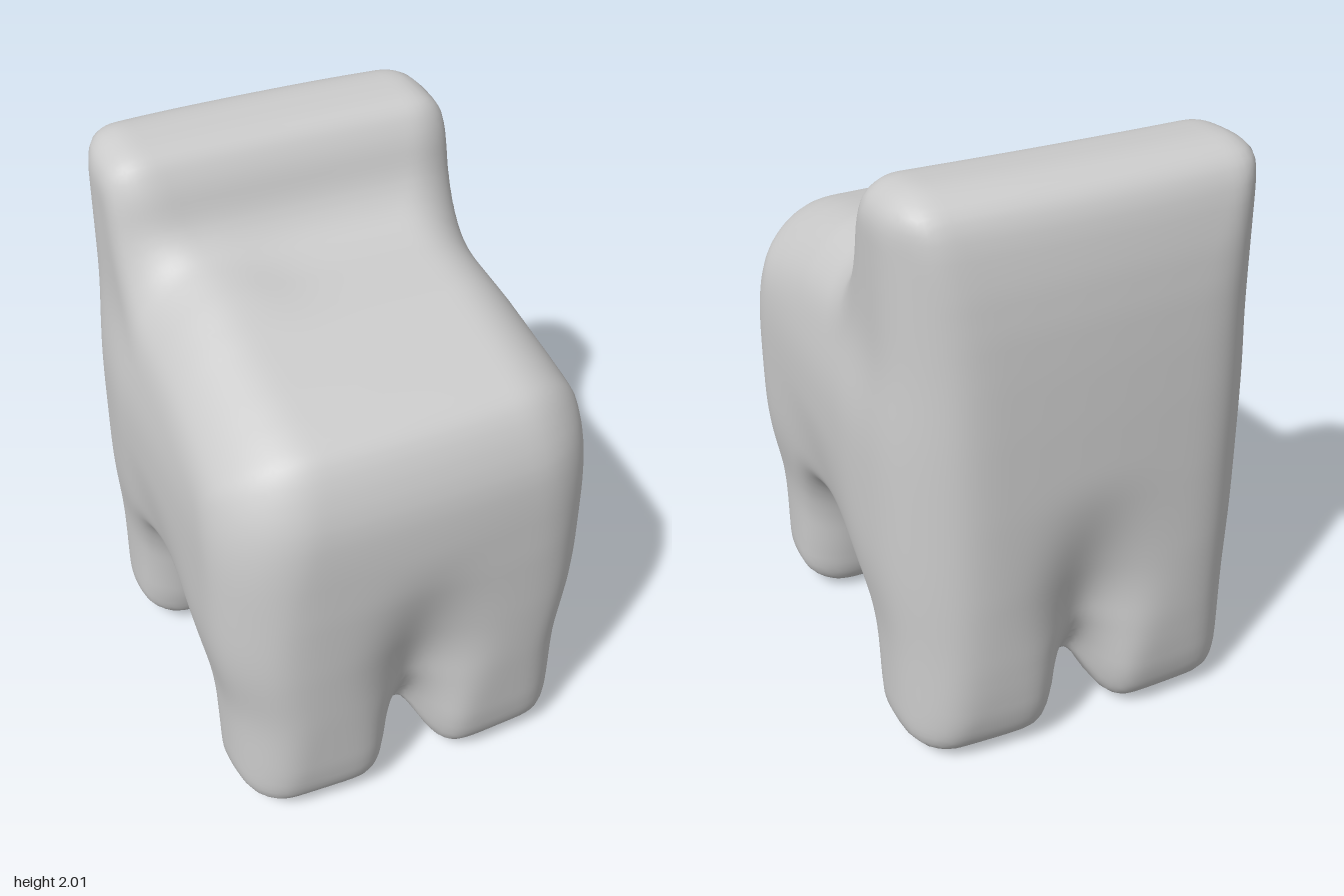
import * as THREE from 'three';

// side outline (z, y): front legs, seat, backrest, rear legs, arch
const OUTLINE = new THREE.CatmullRomCurve3([
  [0.55, 0.005], [0.64, 0.02], [0.71, 0.08], [0.755, 0.4], [0.78, 1.1], [0.75, 1.31], [0.67, 1.46],
  [0.58, 1.51], [0.2, 1.61], [-0.14, 1.67], [-0.24, 1.76], [-0.3, 1.9], [-0.36, 1.975], [-0.46, 1.998],
  [-0.6, 1.998], [-0.69, 1.95], [-0.745, 1.78], [-0.78, 1.3], [-0.77, 0.4], [-0.72, 0.09],
  [-0.64, 0.015], [-0.4, 0.005], [-0.32, 0.06], [-0.25, 0.42], [-0.2, 0.53], [-0.13, 0.565],
  [0.13, 0.565], [0.2, 0.53], [0.26, 0.42], [0.33, 0.06], [0.4, 0.005],
].map(([z, y]) => new THREE.Vector3(z, y, 0)), true).getPoints(100).slice(0, -1);
const smooth = THREE.MathUtils.smoothstep;

// signed distance to the side outline
function outlineDistance(z, y) {
  let best = Infinity, inside = false;
  for (let i = 0, j = OUTLINE.length - 1; i < OUTLINE.length; j = i++) {
    const a = OUTLINE[i], b = OUTLINE[j];
    const ez = b.x - a.x, ey = b.y - a.y, wz = z - a.x, wy = y - a.y;
    const t = Math.min(1, Math.max(0, (wz * ez + wy * ey) / (ez * ez + ey * ey)));
    best = Math.min(best, (wz - ez * t) ** 2 + (wy - ey * t) ** 2);
    if ((a.y > y) !== (b.y > y) && z < a.x + (ez * wy) / ey) inside = !inside;
  }
  return Math.sqrt(best) * (inside ? -1 : 1);
}

// intersection of two distances with a rounded edge of radius r
function roundedEdge(a, b, r) {
  return Math.min(Math.max(a, b), -r) + Math.hypot(Math.max(a + r, 0), Math.max(b + r, 0));
}

// the padded chair body: outline swept across x, rounded, grooved between the legs
function body(x, y, z) {
  const bentZ = z * (1 + 0.1 * x * x);
  const side = outlineDistance(bentZ, y);
  const bulge = Math.exp(-(((y - 0.96) / 0.42) ** 4)) * (1 - 0.8 * smooth(-z, 0.25, 0.7));
  const wide = Math.abs(x) - 0.612 - 0.052 * bulge;
  const r = 0.18 + 0.1 * smooth(y, 0.8, 1.3) * smooth(z, -0.4, -0.1) - 0.04 * smooth(y, 1.5, 1.85);
  const swept = roundedEdge(side, wide, r);
  // wide rounding of the four upright corners, blended in
  const plan = roundedEdge(wide, Math.abs(bentZ) - 0.79, 0.3);
  const blend = Math.max(0.03 - Math.abs(swept - plan), 0);
  const d = Math.max(swept, plan) + blend * blend / 0.12;
  // groove between the legs, opening into a gap near the floor
  const depth = 0.12 * (1 - smooth(y, 0.1, 0.45)) + 0.12 * (1 - smooth(y, 0.35, 1.08));
  const spread = 0.095 + 0.07 * smooth(y, 0.15, 0.7);
  // shallow hollow in each flank above the arch
  const hollow = 0.04 * smooth(Math.abs(x), 0.3, 0.55) * (1 - smooth(y, 0.6, 1.05)) * Math.exp(-((z / 0.25) ** 2));
  // soft lump on the seat
  const lump = 0.03 * Math.exp(-((x + 0.33) ** 2 + (y - 1.65) ** 2 + (z + 0.02) ** 2) / 0.03);
  return d + depth * Math.exp(-((x / spread) ** 2)) + hollow - lump;
}

// skin a distance field: one vertex per crossed cell, one quad per crossed edge
function skin(f, min, size, step) {
  const n = size.map((s) => Math.ceil(s / step));
  const id = (i, j, k) => (k * n[1] + j) * n[0] + i;
  const at = (c, a) => min[a] + c * step;
  const field = new Float32Array(n[0] * n[1] * n[2]);
  const each = (lo, hi, fn) => {
    for (let k = lo; k < n[2] - hi; k++)
      for (let j = lo; j < n[1] - hi; j++)
        for (let i = lo; i < n[0] - hi; i++) fn(i, j, k);
  };
  each(0, 0, (i, j, k) => { field[id(i, j, k)] = f(at(i, 0), at(j, 1), at(k, 2)); });

  const gradient = (p, e) => new THREE.Vector3(
    f(p.x + e, p.y, p.z) - f(p.x - e, p.y, p.z),
    f(p.x, p.y + e, p.z) - f(p.x, p.y - e, p.z),
    f(p.x, p.y, p.z + e) - f(p.x, p.y, p.z - e));

  const stride = [1, n[0], n[0] * n[1]];
  const vertexOf = new Map(), pos = [], nor = [], index = [];
  each(0, 1, (i, j, k) => {
    const base = id(i, j, k), sum = new THREE.Vector3();
    let count = 0;
    for (let a = 0; a < 3; a++) {
      const b = (a + 1) % 3, c = (a + 2) % 3;
      for (let m = 0; m < 4; m++) {
        const u = m & 1, v = m >> 1;
        const s = base + u * stride[b] + v * stride[c];
        const d0 = field[s], d1 = field[s + stride[a]];
        if ((d0 < 0) === (d1 < 0)) continue;
        const o = [0, 0, 0];
        o[a] = d0 / (d0 - d1); o[b] = u; o[c] = v;
        sum.add(new THREE.Vector3(...o));
        count++;
      }
    }
    if (!count) return;
    sum.divideScalar(count);
    const p = new THREE.Vector3(at(i + sum.x, 0), at(j + sum.y, 1), at(k + sum.z, 2));
    const g = gradient(p, 0.04).normalize();
    vertexOf.set(base, pos.length / 3);
    pos.push(p.x, p.y, p.z);
    nor.push(g.x, g.y, g.z);
  });
  each(1, 1, (i, j, k) => {
    const s = id(i, j, k);
    for (let a = 0; a < 3; a++) {
      const inside = field[s] < 0;
      if (inside === (field[s + stride[a]] < 0)) continue;
      const b = stride[(a + 1) % 3], c = stride[(a + 2) % 3];
      const q = [s, s - b, s - b - c, s - c].map((v) => vertexOf.get(v));
      if (!inside) q.reverse();
      index.push(q[0], q[1], q[2], q[0], q[2], q[3]);
    }
  });
  const geometry = new THREE.BufferGeometry();
  geometry.setAttribute('position', new THREE.Float32BufferAttribute(pos, 3));
  geometry.setAttribute('normal', new THREE.Float32BufferAttribute(nor, 3));
  geometry.setIndex(index);
  return geometry;
}

export function createModel() {
  const group = new THREE.Group();
  group.name = 'chair';
  const mesh = new THREE.Mesh(
    skin(body, [-0.775, -0.1, -0.9], [1.58, 2.24, 1.83], 0.025),
    new THREE.MeshStandardMaterial({ color: 0xcccccc }));
  mesh.name = 'chairBody';
  group.add(mesh);
  return group;
}
